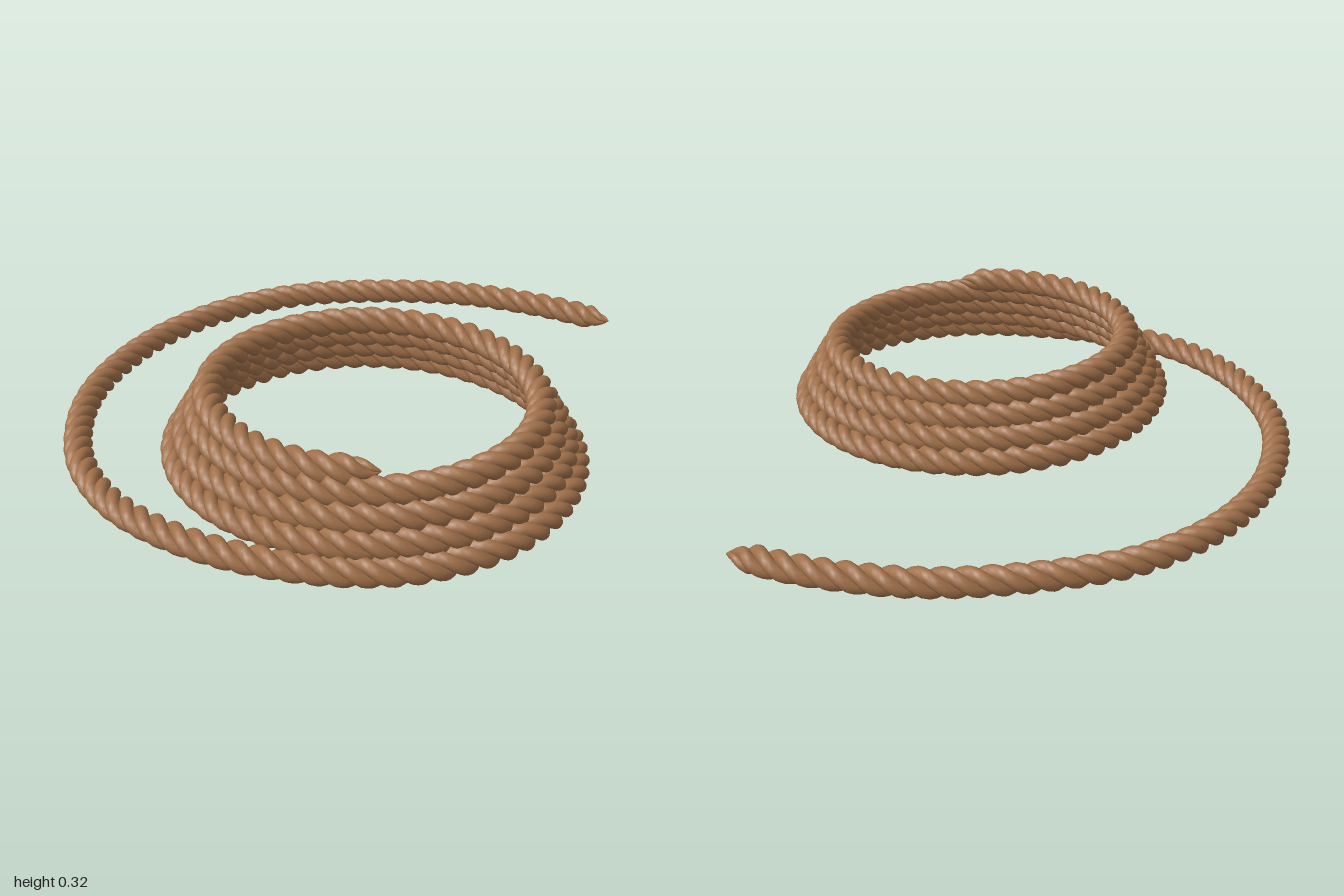
import * as THREE from 'three';

const STRANDS = 3;
const PITCH = 0.2;        // length of one full twist
const OFFSET = 0.0225;    // strand centre from rope centre
const STRAND_R = 0.0225;
const SIDES = 10;

// Centreline: loose tail on the ground, then a coil that rises and narrows
function ropePath() {
  const tail = [
    [0.55, -0.94], [0.28, -0.955], [-0.02, -0.915], [-0.315, -0.79], [-0.55, -0.63],
    [-0.71, -0.42], [-0.8, -0.185], [-0.825, 0.05], [-0.79, 0.32], [-0.695, 0.54],
    [-0.525, 0.755], [-0.315, 0.89], [-0.1, 0.945], [0.16, 0.943],
  ];
  const points = tail.map(([x, z]) => new THREE.Vector3(x, 0.05, z));
  const first = 0.06, last = 4.083, steps = 72;
  for (let i = 0; i <= steps; i++) {
    const turn = first + (last - first) * i / steps;
    const angle = turn * Math.PI * 2;
    const r = Math.max(0.485, 0.617 - 0.036 * turn);
    points.push(new THREE.Vector3(
      0.215 + r * Math.sin(angle),
      Math.min(0.285, 0.052 + 0.06 * turn),
      0.3 + r * Math.cos(angle)
    ));
  }
  const curve = new THREE.CatmullRomCurve3(points);
  curve.arcLengthDivisions = 3000;
  return curve;
}

// Centre and cross-section axes at even steps along the rope
function ropeFrames(curve, count) {
  const up = new THREE.Vector3(0, 1, 0);
  return Array.from({ length: count + 1 }, (_, i) => {
    const centre = curve.getPointAt(i / count);
    const t = curve.getTangentAt(i / count);
    const n = new THREE.Vector3().crossVectors(up, t).normalize();
    const b = new THREE.Vector3().crossVectors(t, n);
    return { centre, n, b };
  });
}

// One strand winding round the centreline, tapered at both ends
function strandGeometry(frames, length, phase) {
  const positions = [], index = [];
  const count = frames.length - 1;
  const p = new THREE.Vector3();
  frames.forEach(({ centre, n, b }, i) => {
    const s = length * i / count;
    const end = Math.min(s, length - s);
    const taper = Math.max(0.03, Math.pow(Math.min(1, end / 0.08), 0.7));
    const twist = phase + s / PITCH * Math.PI * 2;
    const c = Math.cos(twist), d = Math.sin(twist);
    for (let j = 0; j < SIDES; j++) {
      const a = j / SIDES * Math.PI * 2;
      // slightly wider across, to allow for the slant of the strand
      const out = (OFFSET + STRAND_R * Math.cos(a)) * taper;
      const side = STRAND_R * 1.12 * Math.sin(a) * taper;
      p.copy(centre)
        .addScaledVector(n, out * c - side * d)
        .addScaledVector(b, out * d + side * c);
      positions.push(p.x, p.y, p.z);
      if (i < count) {
        const k = i * SIDES + j, m = i * SIDES + (j + 1) % SIDES;
        index.push(k, m, k + SIDES, m, m + SIDES, k + SIDES);
      }
    }
  });
  const geometry = new THREE.BufferGeometry();
  geometry.setAttribute('position', new THREE.Float32BufferAttribute(positions, 3));
  geometry.setIndex(index);
  geometry.computeVertexNormals();
  return geometry;
}

export function createModel() {
  const group = new THREE.Group();
  group.name = 'coiledRope';
  const material = new THREE.MeshStandardMaterial({ color: 0xa0704a });
  const curve = ropePath();
  const length = curve.getLength();
  const frames = ropeFrames(curve, Math.round(length / PITCH * 18));
  for (let i = 0; i < STRANDS; i++) {
    const strand = new THREE.Mesh(
      strandGeometry(frames, length, i / STRANDS * Math.PI * 2), material);
    strand.name = `ropeStrand${i + 1}`;
    group.add(strand);
  }
  return group;
}
